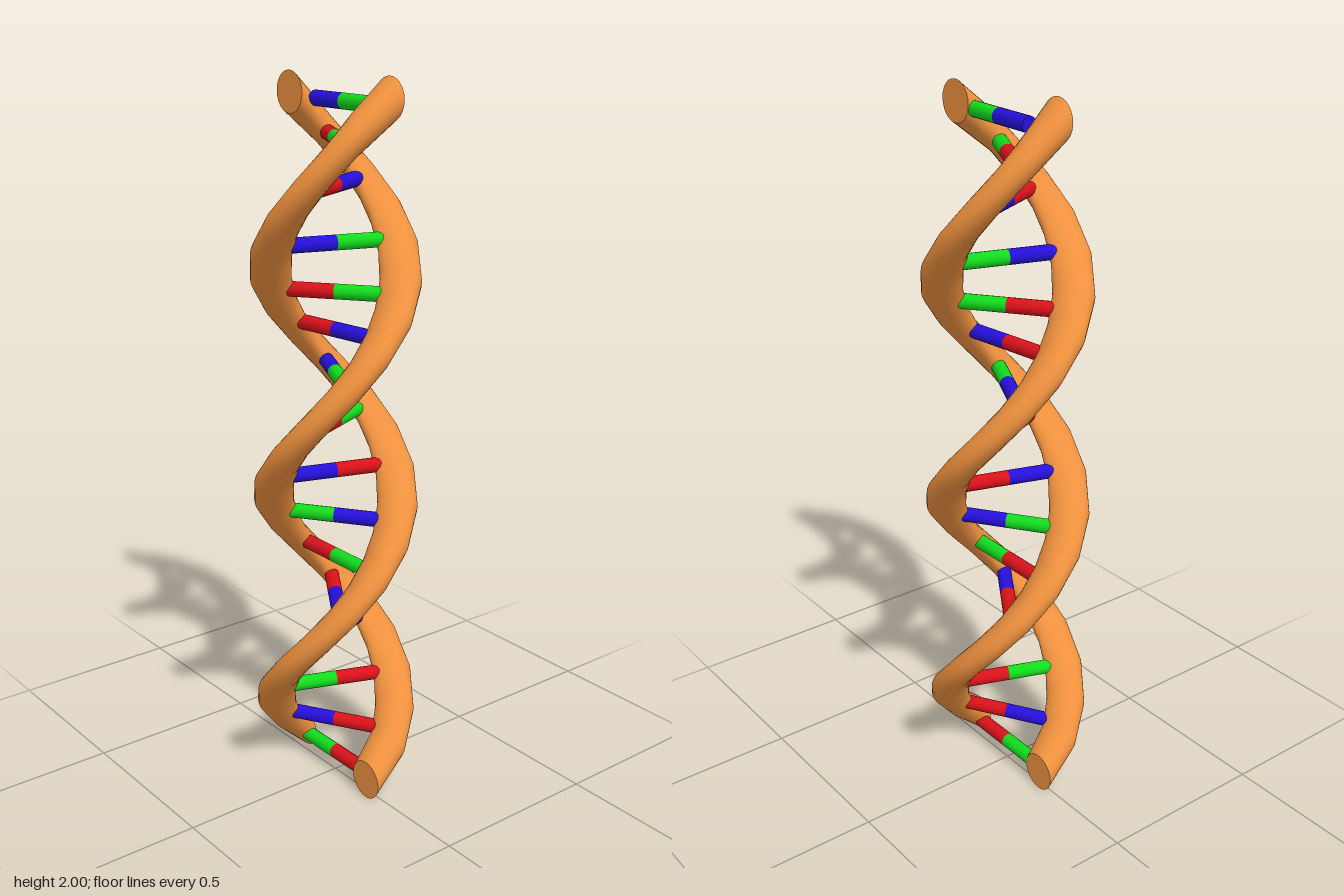
import * as THREE from 'three';

const HELIX_R = 0.173, TUBE_R = 0.056, SIDES = 24, STEPS = 24;
const HALF_PITCH = 0.6275, BASE_Y = 1 - 1.5 * HALF_PITCH;

const mat = (color) => new THREE.MeshStandardMaterial({ color });

// One strand: upright circles swept up 1.5 turns, with flat end caps facing along z
function makeStrand(name, phase, startZ, endZ, material) {
  const group = new THREE.Group();
  group.name = name;
  const positions = [], index = [];
  const facing = Math.sign(startZ);

  const addCap = (capName, x, y, z) => {
    const cap = new THREE.Mesh(new THREE.CircleGeometry(TUBE_R, SIDES), material);
    cap.name = capName;
    cap.position.set(x, y, z);
    if (facing < 0) cap.rotation.y = Math.PI;
    group.add(cap);
  };

  for (let i = 0; i <= STEPS; i++) {
    const t = phase + (i / STEPS) * 3 * Math.PI;
    const isEnd = i === 0 || i === STEPS;
    const shift = i === 0 ? startZ : i === STEPS ? endZ : 0;
    const y = BASE_Y + (i / STEPS) * 3 * HALF_PITCH + (i === 0 ? -0.003 : i === STEPS ? 0.003 : 0);
    for (let j = 0; j < SIDES; j++) {
      const p = (j / SIDES) * 2 * Math.PI;
      const r = HELIX_R + TUBE_R * Math.cos(p);
      positions.push(r * Math.cos(t), y + TUBE_R * Math.sin(p), -r * Math.sin(t) + shift);
      if (i < STEPS) {
        const k = (j + 1) % SIDES;
        const a = i * SIDES + j, b = a + SIDES, c = (i + 1) * SIDES + k, d = i * SIDES + k;
        index.push(a, b, c, a, c, d);
      }
    }
    if (isEnd) addCap(i === 0 ? 'lowerCap' : 'upperCap', HELIX_R * Math.cos(t), y, shift);
  }

  const geo = new THREE.BufferGeometry();
  geo.setAttribute('position', new THREE.Float32BufferAttribute(positions, 3));
  geo.setIndex(index);
  geo.computeVertexNormals();
  const tube = new THREE.Mesh(geo, material);
  tube.name = 'strandTube';
  group.add(tube);
  return group;
}

export function createModel() {
  const model = new THREE.Group();
  model.name = 'doubleHelix';

  // Two strands half a turn apart
  const orange = mat(0xf0923f);
  model.add(makeStrand('firstStrand', 0, 0.026, 0.018, orange));
  model.add(makeStrand('secondStrand', Math.PI, -0.02, -0.034, orange));

  // Two-coloured rungs: height, colour at first strand, colour at second strand
  const colors = { r: mat(0xd91219), g: mat(0x12dc1e), b: mat(0x2610dc) };
  const rungs = [
    [0.06, 'r', 'g'], [0.167, 'r', 'b'], [0.3, 'r', 'g'], [0.447, 'b', 'g'],
    [0.57, 'r', 'b'], [0.686, 'r', 'g'], [0.807, 'g', 'b'], [0.94, 'b', 'r'],
    [1.083, 'r', 'g'], [1.22, 'g', 'b'], [1.337, 'b', 'r'], [1.44, 'g', 'r'],
    [1.57, 'g', 'b'], [1.72, 'b', 'r'], [1.84, 'r', 'g'], [1.93, 'b', 'g'],
  ];
  const half = 0.13;
  const halfGeo = new THREE.CylinderGeometry(0.021, 0.021, half, 16).rotateZ(Math.PI / 2);
  rungs.forEach(([y, first, second], n) => {
    const rung = new THREE.Group();
    rung.name = `rung${n + 1}`;
    [[first, 1], [second, -1]].forEach(([key, side]) => {
      const bar = new THREE.Mesh(halfGeo, colors[key]);
      bar.name = side > 0 ? 'firstHalf' : 'secondHalf';
      bar.position.x = (side * half) / 2;
      rung.add(bar);
    });
    rung.position.y = y;
    rung.rotation.y = ((y - BASE_Y) / HALF_PITCH) * Math.PI;
    model.add(rung);
  });

  // The top rung sits slightly off the axis
  model.children[model.children.length - 1].position.set(0.012, 1.93, -0.018);
  return model;
}
